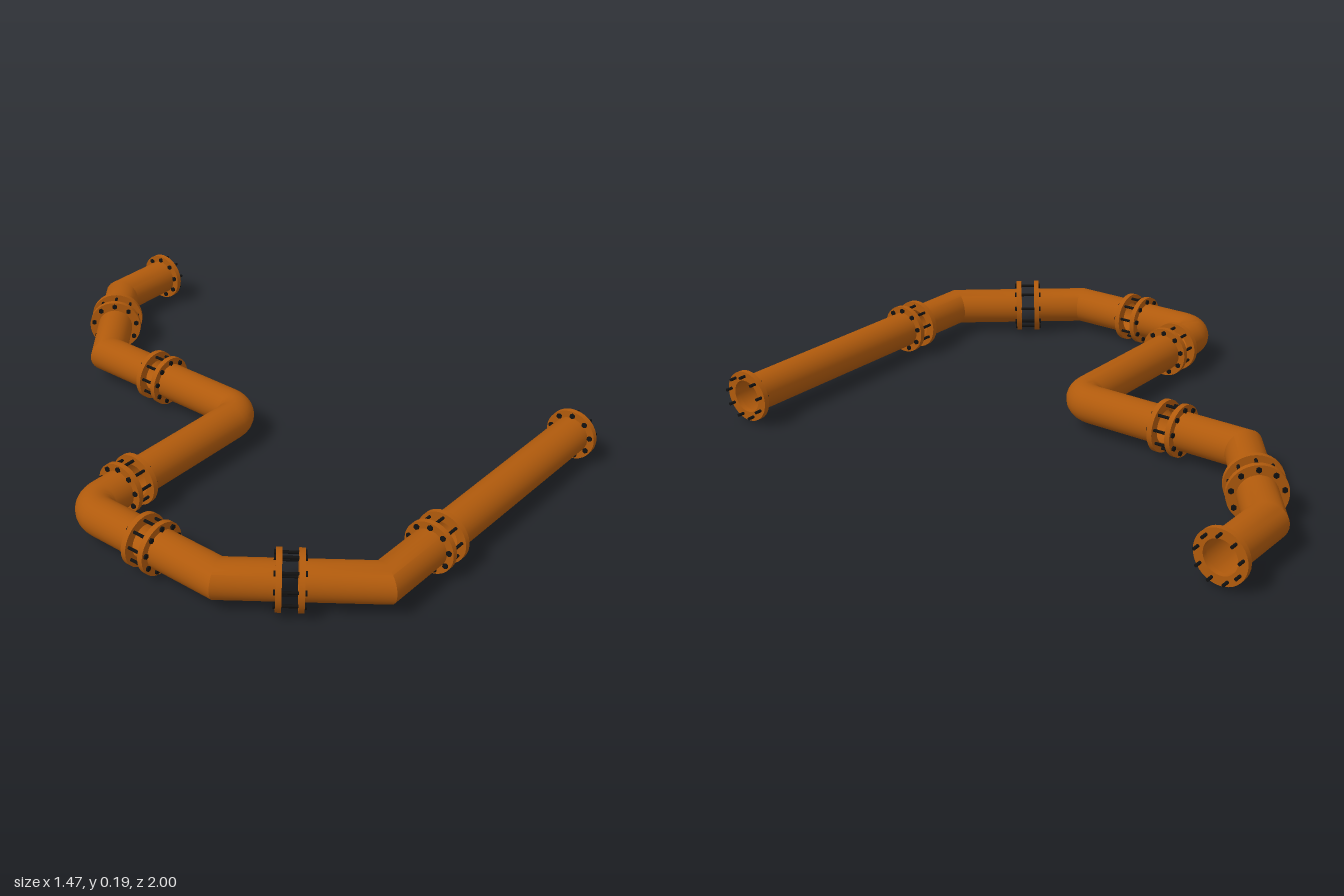
import * as THREE from 'three';
import { mergeGeometries, toCreasedNormals } from 'three/addons/utils/BufferGeometryUtils.js';

const AXIS_Y = 0.0935, PIPE_R = 0.0625, SIDES = 32, BOLTS = 9;
const GAP = 0.033; // half distance between the two flanges of a joint

const rust = new THREE.MeshStandardMaterial({ color: 0xb05a0c });
const rustOpen = new THREE.MeshStandardMaterial({ color: 0xb05a0c, side: THREE.DoubleSide });
const black = new THREE.MeshStandardMaterial({ color: 0x111111 });

const v = (x, z) => new THREE.Vector2(x, z);

// Replace a corner by arc points of the given centreline radius
function elbow(a, corner, b, radius, steps = 8) {
  const u = a.clone().sub(corner).normalize(), w = b.clone().sub(corner).normalize();
  const points = [];
  for (let i = 0; i <= steps; i++) {
    const t = (i / steps) * Math.PI / 2;
    points.push(corner.clone()
      .addScaledVector(u, radius * (1 - Math.sin(t)))
      .addScaledVector(w, radius * (1 - Math.cos(t))));
  }
  return points;
}

// Open pipe swept along a level path, mitred at every corner
function pipeGeometry(path) {
  const position = [], index = [];
  path.forEach((p, i) => {
    const din = p.clone().sub(path[Math.max(i - 1, 0)]).normalize();
    const dout = path[Math.min(i + 1, path.length - 1)].clone().sub(p).normalize();
    const dir = din.clone().add(dout).normalize();
    const stretch = 1 / Math.max(dir.dot(din), dir.dot(dout));
    for (let k = 0; k < SIDES; k++) {
      const a = (k / SIDES) * Math.PI * 2, s = PIPE_R * Math.cos(a) * stretch;
      position.push(p.x + dir.y * s, AXIS_Y + PIPE_R * Math.sin(a), p.y - dir.x * s);
      if (i > 0) {
        const k2 = (k + 1) % SIDES, r0 = (i - 1) * SIDES, r1 = i * SIDES;
        index.push(r0 + k, r1 + k2, r1 + k, r0 + k, r0 + k2, r1 + k2);
      }
    }
  });
  const g = new THREE.BufferGeometry();
  g.setAttribute('position', new THREE.Float32BufferAttribute(position, 3));
  g.setIndex(index);
  // outward winding check on the first face
  g.computeVertexNormals();
  const n = g.attributes.normal, q = g.attributes.position;
  const outward = n.getY(SIDES / 4) * (q.getY(SIDES / 4) - AXIS_Y);
  if (outward < 0) g.setIndex(index.map((_, i) => index[i - (i % 3) + 2 - (i % 3)]));
  return toCreasedNormals(g, 0.45);
}

// Flat ring around the local z axis
function flangeGeometry(radius, z) {
  const h = 0.009, inner = 0.055;
  const profile = [[inner, -h], [radius, -h], [radius, h], [inner, h], [inner, -h]].map(p => v(...p));
  return toCreasedNormals(new THREE.LatheGeometry(profile, 36), 0.5).rotateX(Math.PI / 2).translate(0, 0, z);
}

// Circle of bolts along local z, with a head or nut at each listed z
function boltsGeometry(circle, z0, z1, heads) {
  const parts = [];
  for (let k = 0; k < BOLTS; k++) {
    const a = (k / BOLTS) * Math.PI * 2, x = circle * Math.sin(a), y = circle * Math.cos(a);
    const add = (r, len, z, n) => parts.push(
      new THREE.CylinderGeometry(r, r, len, n).rotateX(Math.PI / 2).translate(x, y, z));
    add(0.005, z1 - z0, (z0 + z1) / 2, 10);
    heads.forEach(z => add(0.009, 0.008, z, 6));
  }
  return mergeGeometries(parts);
}

function fitting(name, at, dir, flangeZs, radius, boltArgs) {
  const g = new THREE.Group();
  g.name = name;
  flangeZs.forEach(z => {
    const m = new THREE.Mesh(flangeGeometry(radius, z), rust);
    m.name = 'flange';
    g.add(m);
  });
  const bolts = new THREE.Mesh(boltsGeometry(radius - 0.0145, ...boltArgs), black);
  bolts.name = 'bolts';
  g.add(bolts);
  g.position.set(at.x, AXIS_Y, at.y);
  g.rotation.y = Math.atan2(dir.x, dir.y);
  return g;
}

export function createModel() {
  const model = new THREE.Group();
  model.name = 'pipeline';

  // Centreline: ends, corners and joint positions in (x, z)
  const endA = v(0.70, 0.91), endB = v(0.70, -0.914);
  const c1 = v(-0.355, 0.91), c2 = v(-0.65, 0.535), c3 = v(-0.65, 0.008);
  const c4 = v(0.098, 0.008), c5 = v(0.098, -0.625), c6 = v(0.466, -0.914);
  const joints = [
    { at: v(-0.094, 0.91), dir: v(-1, 0), r: 0.086 },
    { at: c1.clone().lerp(c2, 0.565), dir: c2.clone().sub(c1).normalize(), r: 0.0935 },
    { at: v(-0.65, 0.279), dir: v(0, -1), r: 0.086 },
    { at: v(-0.463, 0.008), dir: v(1, 0), r: 0.086 },
    { at: v(0.098, -0.367), dir: v(0, -1), r: 0.086 },
    { at: c5.clone().lerp(c6, 0.56), dir: c6.clone().sub(c5).normalize(), r: 0.0935 },
  ];

  // Corner points of the run that follows each joint
  const bends = [[], [c1], [c2], elbow(c2, c3, c4, 0.07), elbow(c3, c4, c5, 0.07), [c5], [c6]];
  bends.forEach((bend, i) => {
    const a = joints[i - 1], b = joints[i];
    const start = a ? a.at.clone().addScaledVector(a.dir, GAP) : endA;
    const end = b ? b.at.clone().addScaledVector(b.dir, -GAP) : endB;
    const pipe = new THREE.Mesh(pipeGeometry([start, ...bend, end]), rustOpen);
    pipe.name = 'pipeSection' + (i + 1);
    model.add(pipe);
  });

  // Bolted joints between the sections
  joints.forEach((j, i) => model.add(fitting('joint' + (i + 1), j.at, j.dir, [-GAP, GAP], j.r,
    [-0.047, 0.047, [-GAP - 0.011, GAP + 0.011]])));

  // Open ends with bolts left standing out
  [endA, endB].forEach((e, i) => model.add(fitting('endFlange' + (i + 1), e, v(1, 0), [0], 0.086,
    [-0.014, 0.031, [-0.011]])));

  return model;
}
